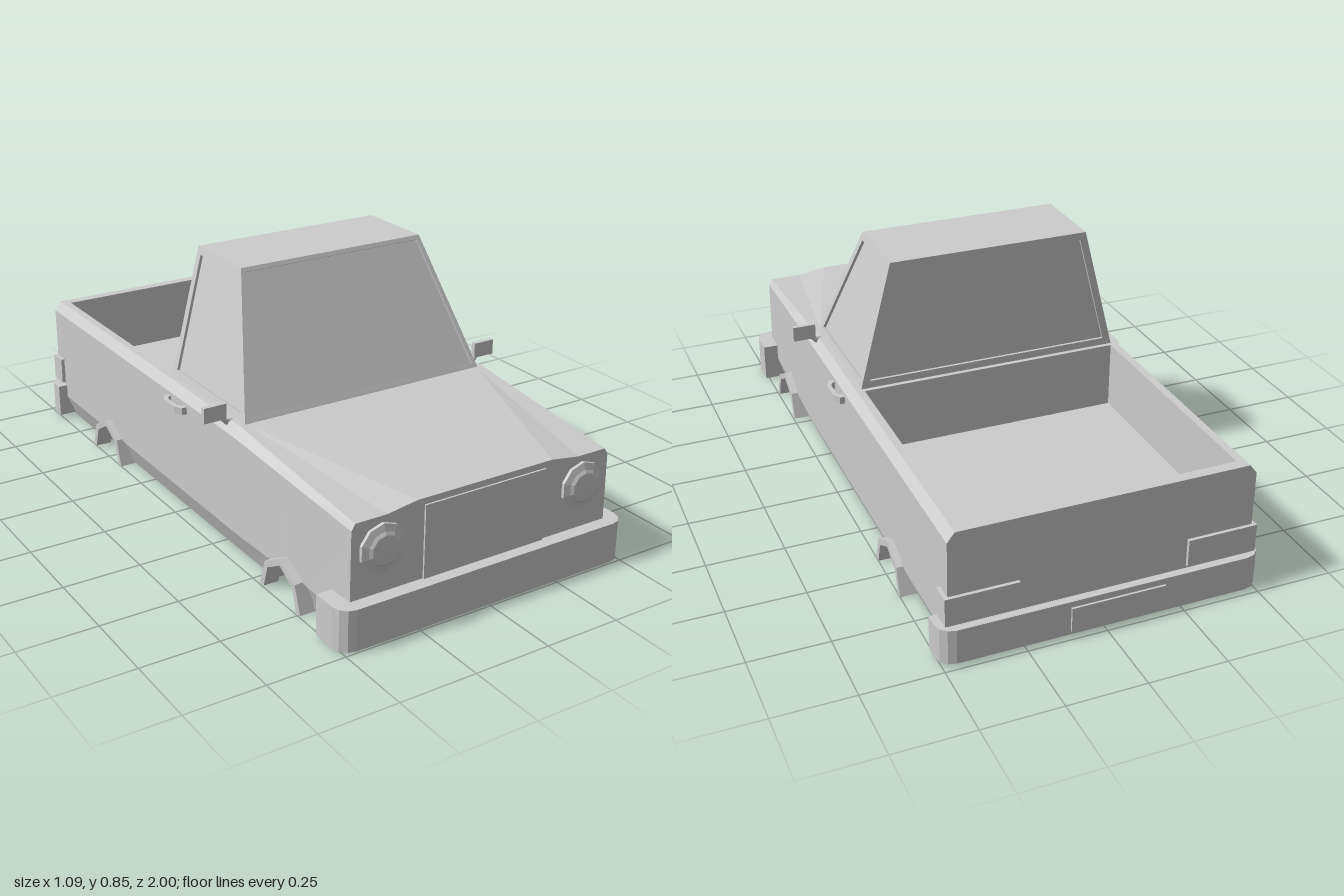
import * as THREE from 'three';

const paint = new THREE.MeshStandardMaterial({ color: 0xcccccc });
paint.name = 'light grey';

// Flat-shaded geometry from a list of triangles made of [x, y, z] corners
function facets(tris) {
  const g = new THREE.BufferGeometry();
  g.setAttribute('position', new THREE.Float32BufferAttribute(tris.flat(2), 3));
  g.computeVertexNormals();
  return g;
}
const quad = (a, b, c, d) => [[a, b, c], [a, c, d]];
const mix = (a, b, t) => a + (b - a) * t;

// Body cross-section at z, running from the top centre down the left side
const arches = [-0.515, 0.645];
function section(z, bed) {
  const t = Math.max(0, (z - 0.36) / 0.595);
  const side = mix(0.478, 0.46, t);
  const top = bed ? 0.21 : mix(0.43, 0.385, t);
  let lower = [[side, 0.08], [mix(0.445, 0.435, t), 0], [0.35, 0]];
  for (const c of arches) {
    const d = Math.abs(z - c);
    if (d < 0.1) {
      const h = mix(0.125, 0.085, d / 0.075);
      lower = [[side, h], [0.35, h], [0.35, 0]];
    }
  }
  return [
    [0, top], [mix(0.43, 0.24, t), top], [mix(0.43, 0.34, t), mix(0.43, 0.37, t)],
    [mix(0.455, 0.445, t), mix(0.43, 0.37, t)], [mix(0.478, 0.457, t), mix(0.4, 0.35, t)],
    ...lower, [0, 0],
  ].map(([x, y]) => [x, y, z]);
}

function bodyGeometry() {
  const archStations = (c, bed) => [-0.11, -0.075, 0, 0.075, 0.11].map((d) => [c + d, bed]);
  const stations = [
    [-0.965, false], [-0.93, false], [-0.93, true], ...archStations(arches[0], true),
    [-0.125, true], [-0.125, false], [0.36, false], ...archStations(arches[1], false), [0.955, false],
  ];
  const rings = stations.map(([z, bed]) => {
    const half = section(z, bed);
    const other = half.slice(1, -1).reverse().map(([x, y, w]) => [-x, y, w]);
    return [...half, ...other];
  });
  const tris = [];
  const n = rings[0].length;
  for (let k = 0; k < rings.length - 1; k++) {
    for (let i = 0; i < n; i++) {
      const j = (i + 1) % n;
      tris.push(...quad(rings[k][i], rings[k + 1][i], rings[k + 1][j], rings[k][j]));
    }
  }
  // End caps
  const back = rings[0], front = rings[rings.length - 1];
  for (let i = 0; i < n; i++) {
    const j = (i + 1) % n;
    tris.push([[0, 0.15, back[0][2]], back[i], back[j]]);
    tris.push([[0, 0.15, front[0][2]], front[j], front[i]]);
  }
  return facets(tris);
}

// Cab side with a raised frame around a recessed pane; corners run counter-clockwise from outside
function framedPane(corners, margin, depth) {
  const p = corners.map((c) => new THREE.Vector3(...c));
  const normal = p[1].clone().sub(p[0]).cross(p[3].clone().sub(p[0])).normalize();
  const inner = p.map((v, i) => {
    const e = p[(i + 1) % 4].clone().sub(v).normalize();
    const f = p[(i + 3) % 4].clone().sub(v).normalize();
    const sin = e.clone().cross(f).length();
    return v.clone().addScaledVector(e.add(f), margin / sin);
  });
  const deep = inner.map((v) => v.clone().addScaledVector(normal, -depth));
  const A = (v) => v.toArray();
  const frame = [];
  for (let i = 0; i < 4; i++) {
    const j = (i + 1) % 4;
    frame.push(...quad(A(p[i]), A(p[j]), A(inner[j]), A(inner[i])));
    frame.push(...quad(A(inner[i]), A(inner[j]), A(deep[j]), A(deep[i])));
  }
  return [facets(frame), facets(quad(...deep.map(A)))];
}

// Bumper: plan outline with bevelled outer corners, facing +z
function bumperGeometry(w, z0, z1, y0, y1) {
  const r = 0.05, pts = [[-w, z0], [w, z0]];
  for (let i = 0; i <= 3; i++) {
    const a = (i / 3) * Math.PI / 2;
    pts.push([w - r + r * Math.cos(a), z1 - r + r * Math.sin(a)]);
  }
  for (let i = 0; i <= 3; i++) {
    const a = (1 + i / 3) * Math.PI / 2;
    pts.push([-w + r + r * Math.cos(a), z1 - r + r * Math.sin(a)]);
  }
  const shape = new THREE.Shape(pts.map((p) => new THREE.Vector2(...p)));
  return new THREE.ExtrudeGeometry(shape, { depth: y1 - y0, bevelEnabled: false })
    .rotateX(Math.PI / 2).translate(0, y1, 0);
}

export function createModel() {
  const model = new THREE.Group();
  model.name = 'pickupTruck';
  const add = (name, geometry, x = 0, y = 0, z = 0) => {
    const m = new THREE.Mesh(geometry, paint);
    m.name = name;
    m.position.set(x, y, z);
    model.add(m);
    return m;
  };
  const box = (name, w, h, d, x, y, z) => add(name, new THREE.BoxGeometry(w, h, d), x, y, z);

  add('body', bodyGeometry());

  // Cab
  const B = 0.437, T = 0.33, yb = 0.43, yt = 0.845, zf = 0.357, zt = 0.16, zr = -0.11;
  const panes = {
    windshield: [[-B, yb, zf], [B, yb, zf], [T, yt, zt], [-T, yt, zt]],
    rearWindow: [[B, yb, zr], [-B, yb, zr], [-T, yt, zr], [T, yt, zr]],
    leftWindow: [[B, yb, zf], [B, yb, zr], [T, yt, zr], [T, yt, zt]],
    rightWindow: [[-B, yb, zr], [-B, yb, zf], [-T, yt, zt], [-T, yt, zr]],
  };
  for (const [name, corners] of Object.entries(panes)) {
    const [frame, glass] = framedPane(corners, name === 'windshield' ? 0.014 : 0.024, 0.009);
    add(name + 'Frame', frame);
    add(name, glass);
  }
  add('roof', facets(quad([-T, yt, zt], [T, yt, zt], [T, yt, zr], [-T, yt, zr])));

  // Bumpers, grille and plate
  add('frontBumper', bumperGeometry(0.513, 0.87, 0.998, 0.004, 0.134));
  add('rearBumper', bumperGeometry(0.51, 0.9, 0.99, 0.012, 0.125).rotateY(Math.PI));
  box('grille', 0.43, 0.232, 0.008, 0, 0.249, 0.957);
  box('numberPlate', 0.3, 0.08, 0.012, -0.037, 0.065, -0.991);

  // Wheel arch flare outline in the z-y plane
  const flare = new THREE.Shape([
    [-0.112, 0], [-0.09, 0], [-0.068, 0.072], [0, 0.11], [0.068, 0.072], [0.09, 0],
    [0.112, 0], [0.083, 0.087], [0, 0.132], [-0.083, 0.087],
  ].map((p) => new THREE.Vector2(...p)));
  // Door handle outline in the x-z plane
  const handle = new THREE.Shape([
    [0, -0.062], [0.02, -0.062], [0.034, -0.035], [0.034, 0.035], [0.02, 0.062], [0, 0.062],
    [0, 0.045], [0.012, 0.045], [0.021, 0.028], [0.021, -0.028], [0.012, -0.045], [0, -0.045],
  ].map((p) => new THREE.Vector2(...p)));

  for (const s of [1, -1]) {
    const side = s > 0 ? 'left' : 'right';
    const turn = s > 0 ? 0 : Math.PI;

    // Headlight with a bevelled rim and a shallow lens
    const lamp = new THREE.LatheGeometry([[0.076, -0.01], [0.076, 0.012], [0.055, 0.018], [0.045, 0.024], [0, 0.026]]
      .map((p) => new THREE.Vector2(...p)), 10).rotateX(Math.PI / 2).toNonIndexed();
    lamp.computeVertexNormals();
    add(side + 'Headlight', lamp, s * 0.357, 0.275, 0.953);

    // Tail light wrapping the rear corner
    box(side + 'TailLightRear', 0.225, 0.09, 0.02, s * 0.3775, 0.18, -0.966);
    box(side + 'TailLightSide', 0.03, 0.09, 0.066, s * 0.475, 0.18, -0.943);

    // Wheel arch flares
    arches.forEach((z, i) => {
      const g = new THREE.ExtrudeGeometry(flare, { depth: i ? 0.05 : 0.055, bevelEnabled: false });
      g.rotateY(Math.PI / 2).translate(0.445, 0, 0).rotateY(turn);
      add(side + (i ? 'FrontArch' : 'RearArch'), g, 0, 0, z);
    });

    // Door handle
    const grip = new THREE.ExtrudeGeometry(handle, { depth: 0.024, bevelEnabled: false });
    grip.rotateX(Math.PI / 2).translate(0.474, 0.388, 0).rotateY(turn);
    add(side + 'DoorHandle', grip);

    // Door mirror on a bent stalk
    box(side + 'Mirror', 0.076, 0.05, 0.016, s * 0.506, 0.46, 0.293);
    const stalk = new THREE.LineCurve3(new THREE.Vector3(s * 0.455, 0.41, 0.295), new THREE.Vector3(s * 0.485, 0.442, 0.293));
    add(side + 'MirrorStalk', new THREE.TubeGeometry(stalk, 1, 0.007, 5));
    const foot = new THREE.LineCurve3(new THREE.Vector3(s * 0.44, 0.425, 0.3), new THREE.Vector3(s * 0.475, 0.432, 0.294));
    add(side + 'MirrorFoot', new THREE.TubeGeometry(foot, 1, 0.006, 5));
  }
  return model;
}
